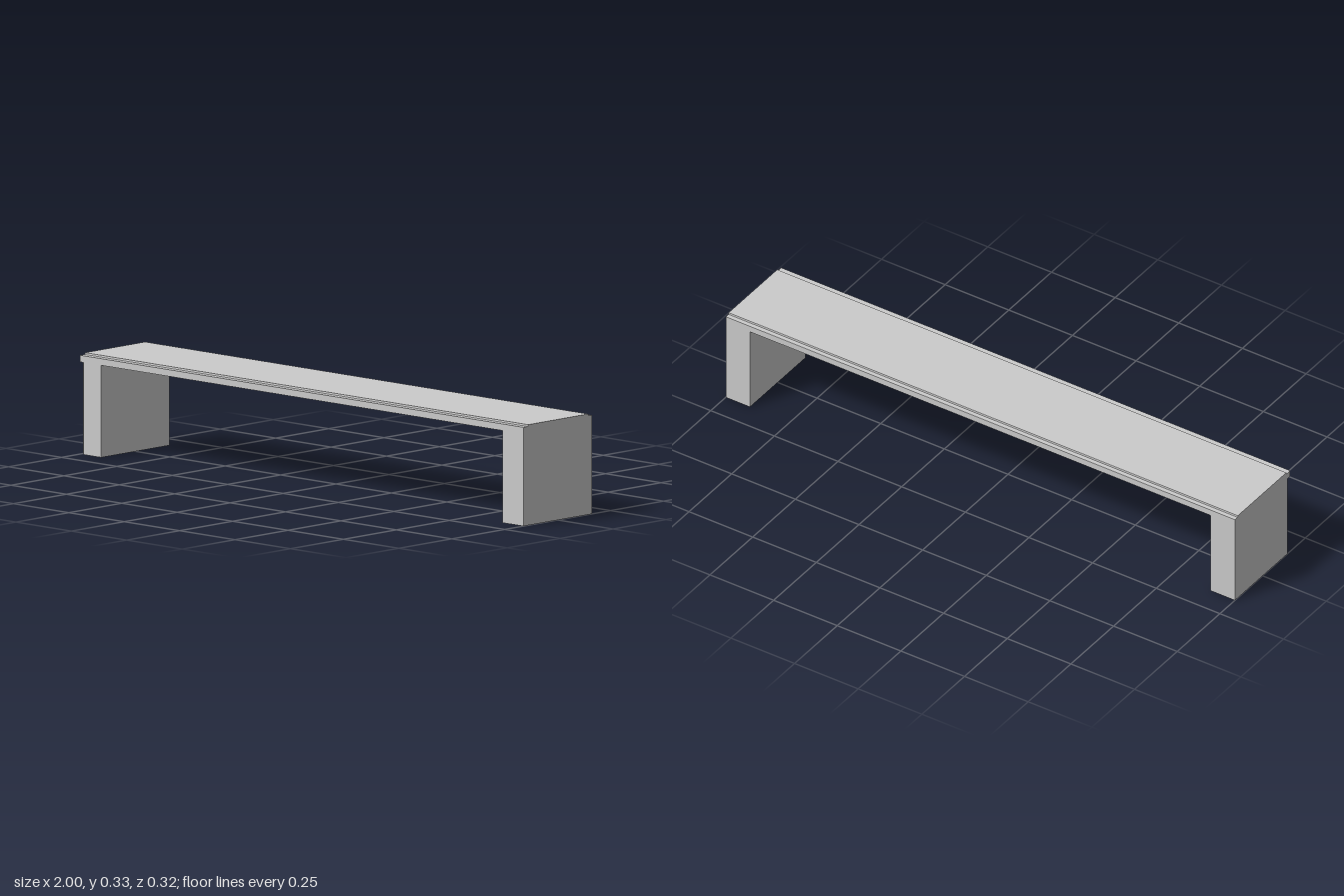
import * as THREE from 'three';

const material = new THREE.MeshStandardMaterial({ color: 0xcccccc, flatShading: true });
const LENGTH = 2, HALF_DEPTH = 0.162, LEG_HEIGHT = 0.305;

const shapeFrom = (points) => new THREE.Shape(points.map(([x, y]) => new THREE.Vector2(x, y)));

function part(name, geometry) {
  const mesh = new THREE.Mesh(geometry, material);
  mesh.name = name;
  return mesh;
}

// Bench top: one cross-section (z, y) with a stepped ledge along both long edges
function makeTop() {
  const profile = shapeFrom([
    [-HALF_DEPTH, LEG_HEIGHT], [HALF_DEPTH, LEG_HEIGHT],
    [HALF_DEPTH, 0.327], [0.14, 0.327], [0.139, 0.333],
    [-0.145, 0.333], [-0.146, 0.327], [-HALF_DEPTH, 0.327],
  ]);
  const geometry = new THREE.ExtrudeGeometry(profile, { depth: LENGTH, bevelEnabled: false });
  geometry.translate(0, 0, -LENGTH / 2);
  geometry.rotateY(-Math.PI / 2);
  // the turn sends profile x to +z and the extrusion to -x
  return part('benchTop', geometry);
}

// Leg: a plan outline (x, z) raised to the underside of the top
function makeLeg(name, plan) {
  const shape = shapeFrom(plan.map(([x, z]) => [x, -z]));
  const geometry = new THREE.ExtrudeGeometry(shape, { depth: LEG_HEIGHT, bevelEnabled: false });
  geometry.rotateX(-Math.PI / 2);
  return part(name, geometry);
}

export function createModel() {
  const model = new THREE.Group();
  model.name = 'bench';
  const d = HALF_DEPTH;
  model.add(
    makeTop(),
    makeLeg('leftLeg', [[0.905, d], [1, d], [1, -d], [0.905, -d]]),
    // the right leg has its front outer corner cut off
    makeLeg('rightLeg', [[-0.985, d], [-0.905, d], [-0.905, -d], [-1, -d], [-1, d - 0.015]]),
  );
  return model;
}
